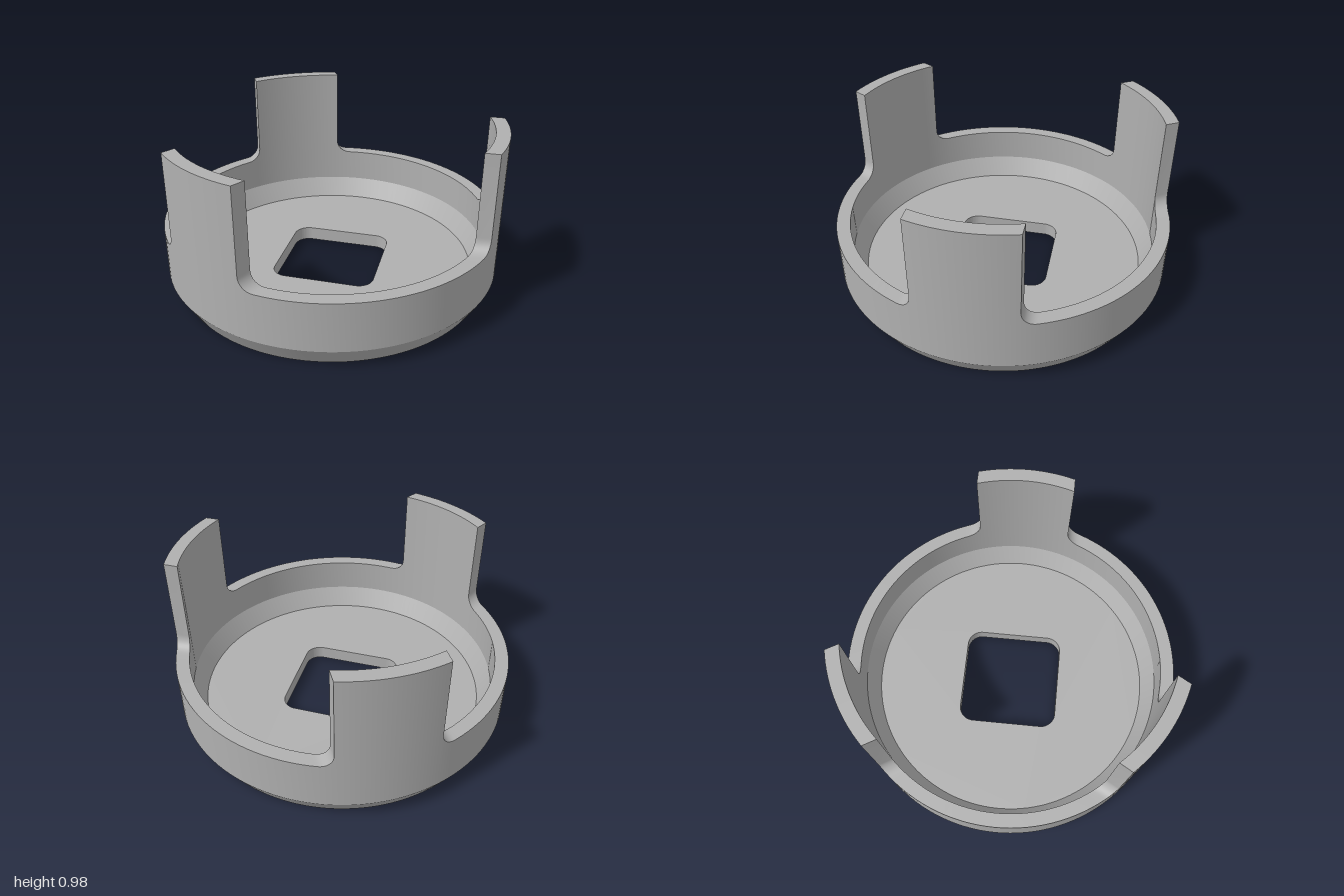
import * as THREE from 'three';
import { toCreasedNormals } from 'three/addons/utils/BufferGeometryUtils.js';

const OUTER = 1, INNER = 0.92;       // wall radii
const RIM = 0.41, TOP = 0.98;        // rim and tab heights
const HALF = 0.285, FILLET = 0.08;   // tab half-width and root fillet
const FLOOR = 0.085;

// Stations around the wall: angle on the outer face, angle on the inner face, top height
function wallStations() {
  const stations = [];
  const side = [];                   // one tab edge, from rim up to tab top
  for (let i = 0; i <= 8; i++) {
    const a = (i / 8) * Math.PI / 2;
    side.push([HALF + FILLET * (1 - Math.sin(a)), RIM + FILLET * (1 - Math.cos(a))]);
  }
  side.push([HALF, TOP]);
  const tab = side.map(([t, y]) => [-t, y]);
  for (let i = 1; i < 16; i++) tab.push([HALF * (i / 8 - 1), TOP]);
  tab.push(...side.slice().reverse());

  const edge = HALF + FILLET;
  const outerEdge = Math.asin(edge / OUTER), innerEdge = Math.asin(edge / INNER);
  const third = Math.PI * 2 / 3;
  for (let k = 0; k < 3; k++) {
    // Tab with parallel sides
    for (const [t, y] of tab) {
      stations.push([k * third + Math.asin(t / OUTER), k * third + Math.asin(t / INNER), y]);
    }
    // Low rim up to the next tab
    for (let i = 1; i < 28; i++) {
      const f = i / 28;
      stations.push([
        k * third + outerEdge + f * (third - 2 * outerEdge),
        k * third + innerEdge + f * (third - 2 * innerEdge), RIM]);
    }
  }
  return stations;
}

// Sweep the wall cross-section through the stations
function wallGeometry() {
  const rings = wallStations().map(([ao, ai, top]) => [
    [0.85, 0, ao], [0.93, 0, ao], [OUTER, 0.12, ao], [OUTER, top, ao],
    [INNER, top, ai], [INNER, 0.205, ai], [0.85, FLOOR, ai],
  ].map(([r, y, a]) => new THREE.Vector3(r * Math.cos(a), y, r * Math.sin(a))));

  const positions = [];
  const triangle = (a, b, c) => {
    if (new THREE.Triangle(a, b, c).getArea() < 1e-7) return;
    for (const p of [a, b, c]) positions.push(p.x, p.y, p.z);
  };
  rings.forEach((ring, s) => {
    const next = rings[(s + 1) % rings.length];
    for (let j = 0; j < ring.length - 1; j++) {
      triangle(ring[j], ring[j + 1], next[j + 1]);
      triangle(ring[j], next[j + 1], next[j]);
    }
  });
  const geometry = new THREE.BufferGeometry();
  geometry.setAttribute('position', new THREE.Float32BufferAttribute(positions, 3));
  return toCreasedNormals(geometry, 0.45);
}

// Floor disc with a rounded square hole
function floorGeometry() {
  const disc = new THREE.Shape().absarc(0, 0, 0.855, 0, Math.PI * 2, false);
  const h = 0.307, r = 0.09, c = h - r;
  const hole = new THREE.Path();
  hole.moveTo(h, -c);
  [[c, c], [-c, c], [-c, -c], [c, -c]].forEach(([x, y], i) => {
    hole.absarc(x, y, r, i * Math.PI / 2, (i + 1) * Math.PI / 2, false);
  });
  disc.holes.push(hole);
  const geometry = new THREE.ExtrudeGeometry(disc, { depth: FLOOR, bevelEnabled: false, curveSegments: 48 });
  geometry.rotateX(-Math.PI / 2);
  return toCreasedNormals(geometry, 0.45);
}

export function createModel() {
  const grey = new THREE.MeshStandardMaterial({ color: 0xb0b0b0 });
  grey.name = 'grey';
  const model = new THREE.Group();
  model.name = 'tabbedCup';

  const wall = new THREE.Mesh(wallGeometry(), grey);
  wall.name = 'wallWithTabs';
  const floor = new THREE.Mesh(floorGeometry(), grey);
  floor.name = 'floor';
  model.add(wall, floor);
  return model;
}
